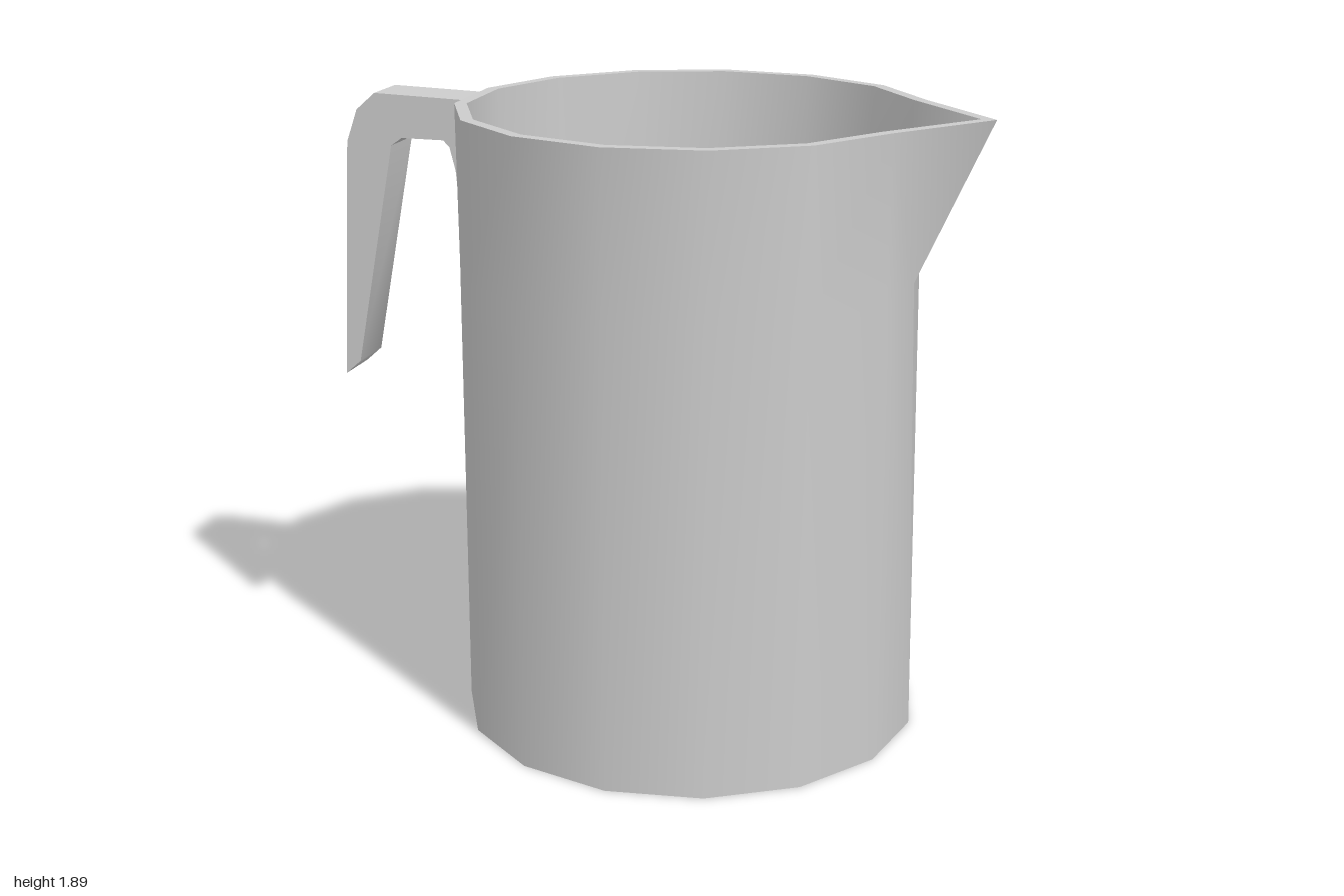
import * as THREE from 'three';
import { toCreasedNormals } from 'three/addons/utils/BufferGeometryUtils.js';

const SIDES = 15, CX = 0.11, TURN = -0.023;
const TOP = 1.89, SPOUT_Y = 1.4, FLOOR = 0.04;

// One ring of the jug; the first corner has its own radius to form the spout
function ring(y, radius, spoutRadius = radius) {
  return Array.from({ length: SIDES }, (_, i) => {
    const a = TURN + (i / SIDES) * Math.PI * 2;
    const r = i === 0 ? spoutRadius : radius;
    return new THREE.Vector3(CX + r * Math.cos(a), y, r * Math.sin(a));
  });
}

// Joins successive rings; diagonals mirror on each side of the spout
function skin(rings) {
  const pos = [];
  const tri = (a, b, c) => {
    if (a.equals(b) || b.equals(c) || a.equals(c)) return;
    for (const p of [a, b, c]) pos.push(p.x, p.y, p.z);
  };
  for (let k = 0; k < rings.length - 1; k++) {
    const lower = rings[k], upper = rings[k + 1];
    const rising = upper[0].y >= lower[0].y;
    for (let i = 0; i < SIDES; i++) {
      const j = (i + 1) % SIDES;
      const a = lower[i], b = lower[j], c = upper[i], d = upper[j];
      if (i === (rising ? 0 : SIDES - 1)) {
        tri(a, c, d);
        tri(a, d, b);
      } else {
        tri(a, c, b);
        tri(b, c, d);
      }
    }
  }
  const g = new THREE.BufferGeometry();
  g.setAttribute('position', new THREE.Float32BufferAttribute(pos, 3));
  return toCreasedNormals(g, 0.7);
}

export function createModel() {
  const group = new THREE.Group();
  const grey = new THREE.MeshStandardMaterial({ color: 0xcccccc });
  const black = new THREE.MeshStandardMaterial({ color: 0x111111 });
  const add = (name, geometry, material) => {
    const mesh = new THREE.Mesh(geometry, material);
    mesh.name = name;
    group.add(mesh);
    return mesh;
  };

  // Jug wall: underside, outside, rim, inside, floor
  add('jugBody', skin([
    ring(0, 0),
    ring(0, 0.7),
    ring(SPOUT_Y, 0.7, 0.67),
    ring(TOP, 0.705, 0.89),
    ring(TOP, 0.668, 0.845),
    ring(SPOUT_Y, 0.66, 0.635),
    ring(FLOOR, 0.65),
    ring(FLOOR, 0),
  ]), grey);

  // Liquid surface
  const liquid = add('liquid', new THREE.CircleGeometry(0.655, SIDES), black);
  liquid.rotation.set(-Math.PI / 2, 0, -TURN);
  liquid.position.set(CX, SPOUT_Y + 0.01, 0);

  // Hooked handle, open at its lower end, with a tapering foot on the wall
  const outline = new THREE.Shape([
    [-0.575, 1.885], [-0.87, 1.893], [-0.93, 1.84], [-0.965, 1.74],
    [-1, 1], [-0.95, 1.045], [-0.82, 1.735], [-0.785, 1.76],
    [-0.65, 1.76], [-0.63, 1.74], [-0.612, 1.67], [-0.583, 1.34], [-0.575, 1.34],
  ].map(([x, y]) => new THREE.Vector2(x, y)));
  const handle = new THREE.ExtrudeGeometry(outline, { depth: 0.16, bevelEnabled: false });
  handle.translate(0, 0, -0.083);
  add('handle', toCreasedNormals(handle, 0.7), grey);

  return group;
}
